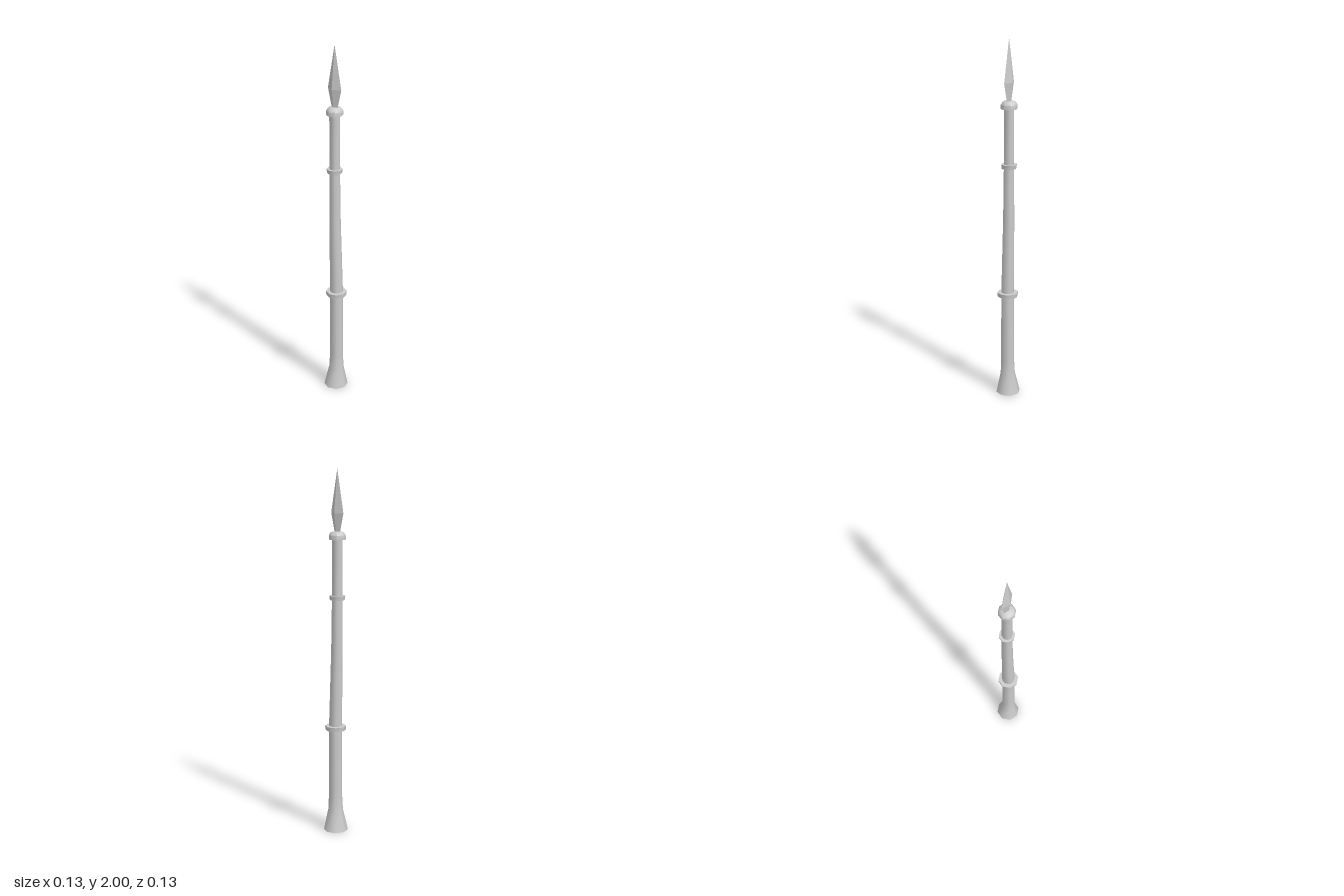
import * as THREE from 'three';
import { toCreasedNormals } from 'three/addons/utils/BufferGeometryUtils.js';

// Closed loft along y; each row is [y, radius, centreX], depth scales z.
function loft(rows, sides, depth = 1) {
  const n = rows.length - 1;
  const geo = new THREE.CylinderGeometry(1, 1, 1, sides, n);
  const pos = geo.attributes.position;
  for (let i = 0; i < pos.count; i++) {
    const [y, r, cx] = rows[Math.round((pos.getY(i) + 0.5) * n)];
    pos.setXYZ(i, pos.getX(i) * r + cx, y, pos.getZ(i) * r * depth);
  }
  geo.computeVertexNormals();
  return geo;
}

export function createModel() {
  const group = new THREE.Group();
  const smooth = new THREE.MeshStandardMaterial({ color: 0xcccccc });
  const faceted = new THREE.MeshStandardMaterial({ color: 0xcccccc, flatShading: true });

  const add = (name, geometry, material) => {
    const mesh = new THREE.Mesh(geometry, material);
    mesh.name = name;
    group.add(mesh);
  };
  // Eight-sided part: rounded around the shaft, crisp at its ends
  const addRound = (name, rows) => add(name, toCreasedNormals(loft(rows, 8), 0.9), smooth);

  // Slightly bent shaft with a flared foot
  addRound('shaft', [
    [0, 0.067, 0],
    [0.12, 0.041, 0.003],
    [0.2, 0.037, 0.004],
    [0.59, 0.036, 0.004],
    [1.03, 0.031, -0.007],
    [1.32, 0.028, -0.009],
    [1.65, 0.028, -0.01],
  ]);

  // Binding rings
  addRound('lowerRing', [[0.58, 0.056, 0.003], [0.604, 0.058, 0.003]]);
  addRound('upperRing', [[1.306, 0.04, -0.01], [1.33, 0.043, -0.01]]);

  // Rounded collar that holds the blade
  addRound('collar', [
    [1.63, 0.045, -0.01],
    [1.653, 0.045, -0.01],
    [1.668, 0.036, -0.01],
    [1.673, 0.024, -0.01],
  ]);

  // Diamond-section blade
  add('blade', loft([
    [1.665, 0.02, -0.01],
    [1.77, 0.047, -0.01],
    [2, 0.0005, -0.01],
  ], 4, 0.47), faceted);

  return group;
}
